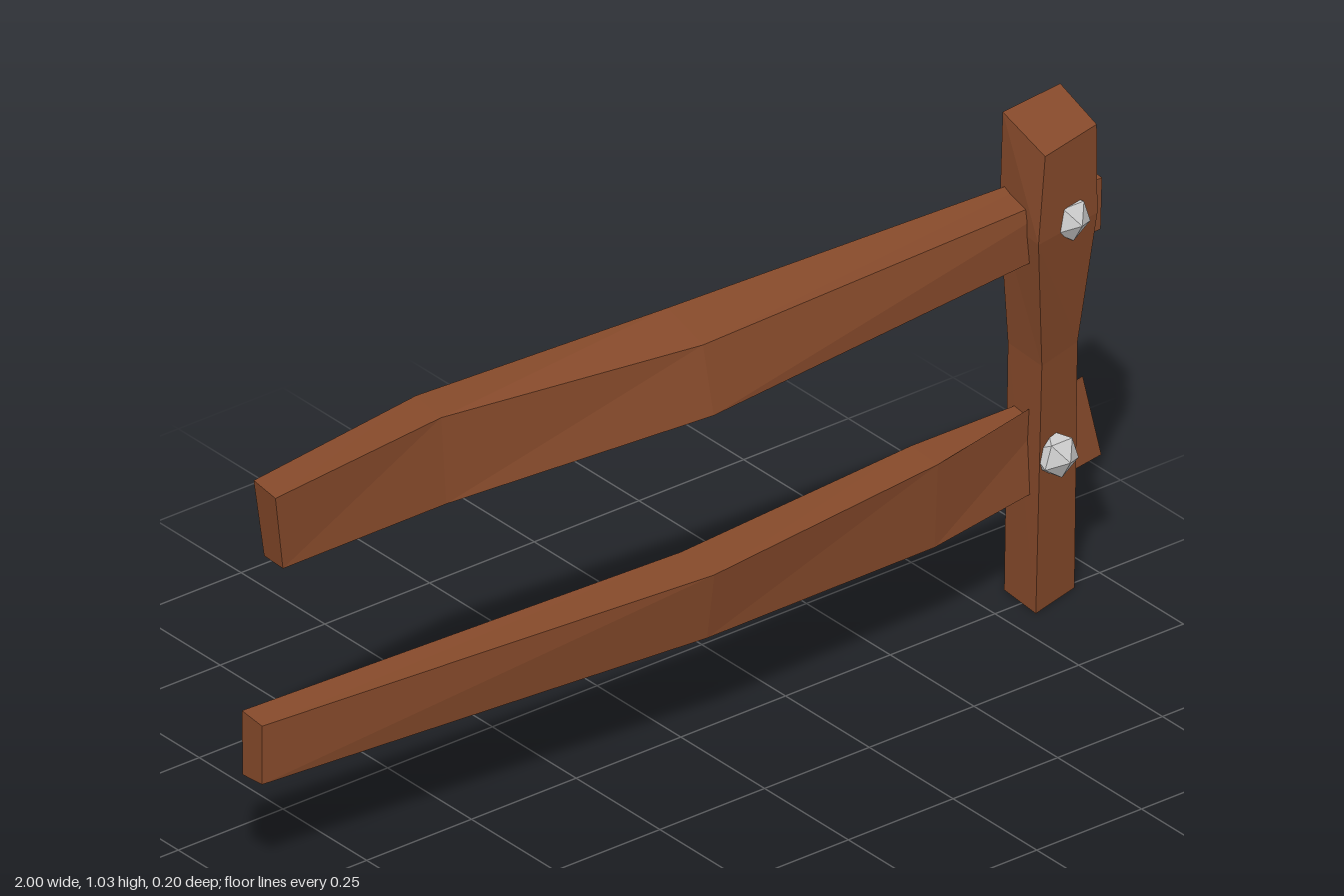
import * as THREE from 'three';

const wood = new THREE.MeshStandardMaterial({ color: 0x85492a, flatShading: true });
const steel = new THREE.MeshStandardMaterial({ color: 0xcccccc, flatShading: true });

// Lofts a closed beam through four-cornered sections (clockwise seen from the far end).
function beam(name, sections) {
  const pos = [];
  const quad = (a, b, c, d) => pos.push(...a, ...b, ...c, ...a, ...c, ...d);
  for (let i = 0; i < sections.length - 1; i++) {
    const s = sections[i], e = sections[i + 1];
    for (let j = 0; j < 4; j++) {
      const k = (j + 1) % 4;
      quad(s[j], e[j], e[k], s[k]);
    }
  }
  quad(...sections[0]);
  quad(...[...sections[sections.length - 1]].reverse());
  const geo = new THREE.BufferGeometry();
  geo.setAttribute('position', new THREE.Float32BufferAttribute(pos, 3));
  geo.computeVertexNormals();
  const mesh = new THREE.Mesh(geo, wood);
  mesh.name = name;
  return mesh;
}

// Faceted bolt head with one point facing along z.
function bolt(name, x, y, z) {
  const geo = new THREE.IcosahedronGeometry(0.047, 0);
  geo.rotateX(Math.atan(2 / (1 + Math.sqrt(5))));
  const mesh = new THREE.Mesh(geo, steel);
  mesh.position.set(x, y, z);
  mesh.name = name;
  return mesh;
}

export function createModel() {
  const group = new THREE.Group();
  group.name = 'fenceSection';

  // Post: front left, back left, back right, front right corners, from the ground up
  group.add(beam('post', [
    [[0.81, 0, 0.047], [0.82, 0, -0.06], [0.925, 0, -0.067], [0.928, 0, 0.015]],
    [[0.818, 0.53, 0.055], [0.825, 0.53, -0.055], [0.933, 0.53, -0.062], [0.928, 0.53, 0.024]],
    [[0.79, 0.81, 0.08], [0.805, 0.81, -0.055], [0.962, 0.81, -0.067], [0.953, 0.81, 0.052]],
    [[0.81, 0.99, 0.075], [0.81, 1.03, -0.052], [0.957, 1.034, -0.064], [0.953, 0.998, 0.05]],
  ]));

  // Rails: top front, top back, bottom back, bottom front corners, along x
  group.add(beam('upperRail', [
    [[-1, 0.88, 0.04], [-1, 0.89, -0.025], [-0.975, 0.72, -0.025], [-0.978, 0.72, 0.035]],
    [[-0.58, 0.892, 0.01], [-0.57, 0.897, -0.078], [-0.57, 0.72, -0.07], [-0.58, 0.714, 0.025]],
    [[0, 0.868, 0.066], [0, 0.901, -0.04], [0, 0.735, -0.03], [0, 0.731, 0.098]],
    [[0.985, 0.862, 0.026], [0.98, 0.872, -0.04], [0.975, 0.74, -0.034], [0.98, 0.755, 0.028]],
  ]));
  group.add(beam('lowerRail', [
    [[-1, 0.375, 0.0], [-1, 0.382, -0.06], [-1, 0.246, -0.058], [-1, 0.25, 0.0]],
    [[0, 0.391, 0.1], [0, 0.396, 0.0], [0, 0.21, 0.005], [0, 0.246, 0.078]],
    [[0.57, 0.407, 0.055], [0.57, 0.412, -0.025], [0.57, 0.213, -0.025], [0.57, 0.225, 0.045]],
    [[0.965, 0.43, -0.007], [0.975, 0.402, -0.036], [0.995, 0.24, -0.047], [1, 0.255, 0.005]],
  ]));

  // Bolts on both faces of the post
  for (const [label, x, y] of [['upper', 0.885, 0.822], ['lower', 0.857, 0.325]]) {
    group.add(bolt(label + 'FrontBolt', x, y, 0.045));
    group.add(bolt(label + 'BackBolt', x, y, -0.053));
  }
  return group;
}
